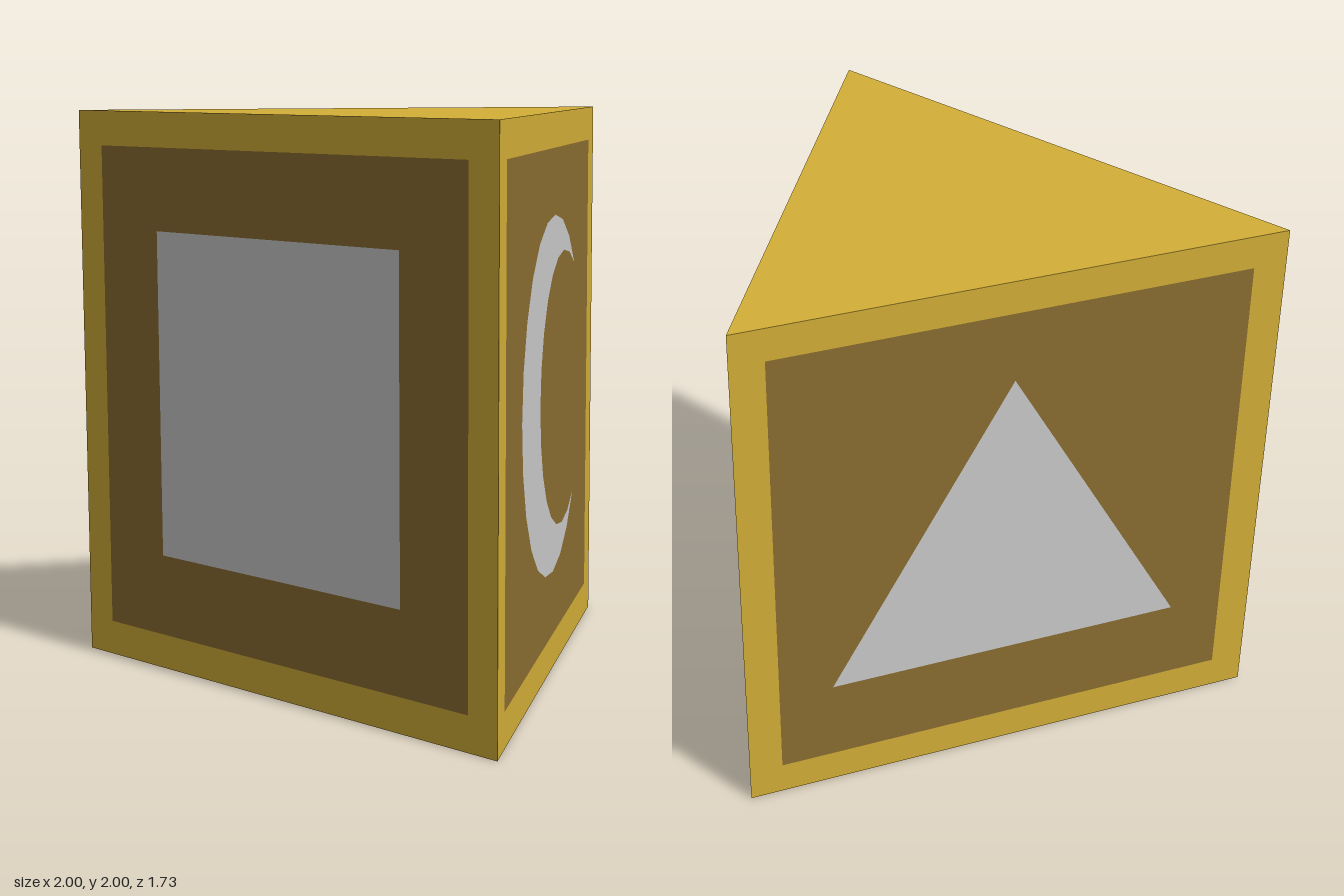
import * as THREE from 'three';

const HALF = Math.sqrt(3) / 2;   // half depth of the prism
const CENTRE_Z = HALF / 3;       // centroid of the triangular plan
const INRADIUS = HALF * 2 / 3;   // centroid to each side face

const gold = new THREE.MeshStandardMaterial({ color: 0xd4af37 });
const bronze = new THREE.MeshStandardMaterial({ color: 0x8b6f32 });
const grey = new THREE.MeshStandardMaterial({ color: 0xcccccc });

const pts = (list) => list.map(([x, y]) => new THREE.Vector2(x, y));
const square = (h) => pts([[-h, -h], [h, -h], [h, h], [-h, h]]);

// Points along a circular arc centred on (cx, 0)
function arc(cx, r, from, to, n) {
  return Array.from({ length: n + 1 }, (_, i) => {
    const a = from + (to - from) * i / n;
    return new THREE.Vector2(cx + r * Math.cos(a), r * Math.sin(a));
  });
}

// Crescent: outer arc between the tips, then back along the inner arc
function crescent() {
  const tip = Math.atan2(0.434, 0.473);
  const outer = arc(0.063, 0.642, tip, 2 * Math.PI - tip, 18);
  const inner = arc(0.285, 0.501, Math.PI * 5 / 3, Math.PI / 3, 16);
  return [...outer, ...inner.slice(1, -1)];
}

function flat(name, outline, hole, material) {
  const shape = new THREE.Shape(outline);
  if (hole) shape.holes.push(new THREE.Path(hole));
  const mesh = new THREE.Mesh(new THREE.ShapeGeometry(shape), material);
  mesh.name = name;
  return mesh;
}

// One side: gold border, inlaid panel and inlaid emblem, all flush
function side(name, emblem, turn) {
  const face = new THREE.Group();
  face.name = name;
  face.add(
    flat('border', square(1), square(0.876), gold),
    flat('panel', square(0.876), emblem, bronze),
    flat('emblem', emblem, null, grey)
  );
  face.children.forEach((m) => m.position.set(0, 1, INRADIUS));
  face.rotation.y = turn;
  face.position.z = CENTRE_Z;
  return face;
}

export function createModel() {
  const model = new THREE.Group();
  model.name = 'triangularPrism';

  const third = Math.PI * 2 / 3;
  const triangle = pts([[-0.674, -0.558], [0.674, -0.558], [0, 0.61]]);
  model.add(
    side('squareSide', square(0.583), 0),
    side('crescentSide', crescent(), third),
    side('triangleSide', triangle, -third)
  );

  // Triangular top and bottom
  const top = flat('top', pts([[-1, -HALF], [1, -HALF], [0, HALF]]), null, gold);
  top.rotation.x = -Math.PI / 2;
  top.position.y = 2;
  const bottom = flat('bottom', pts([[-1, HALF], [0, -HALF], [1, HALF]]), null, gold);
  bottom.rotation.x = Math.PI / 2;
  model.add(top, bottom);

  return model;
}
